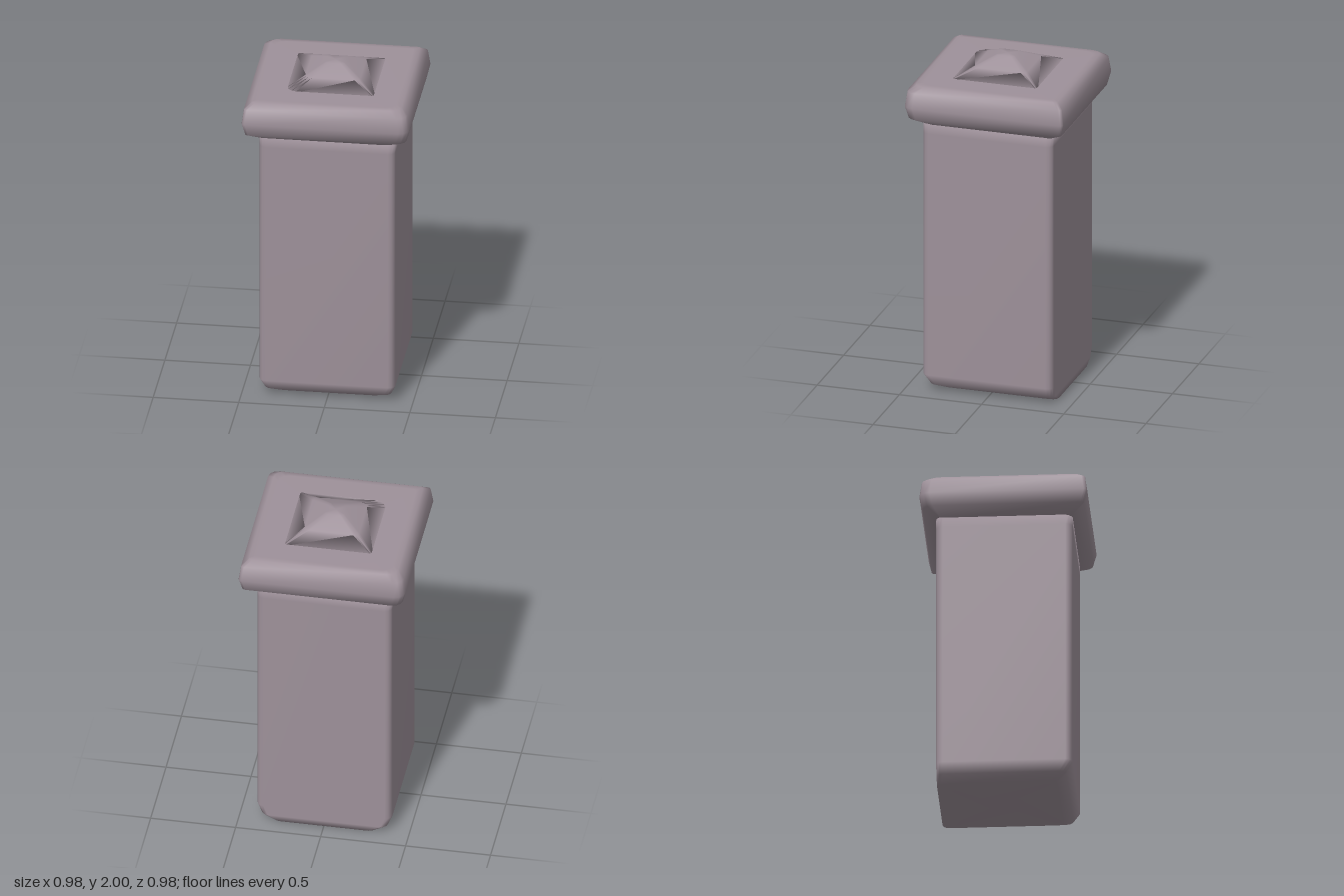
import * as THREE from 'three';

// One horizontal rounded rectangle: extents plus a radius per corner, counterclockwise from above
function ringPoints({ y, x0, x1, z0, z1, radii }) {
  const corners = [[x1, z0, -1, 1], [x0, z0, 1, 1], [x0, z1, 1, -1], [x1, z1, -1, -1]];
  const steps = 3;
  const points = [];
  corners.forEach(([x, z, sx, sz], c) => {
    const r = radii[c];
    for (let s = 0; s <= steps; s++) {
      const a = (c + s / steps) * Math.PI / 2;
      points.push(x + sx * r + r * Math.cos(a), y, z + sz * r - r * Math.sin(a));
    }
  });
  return points;
}

// Skin a stack of rings from bottom to top, closing both ends
function loft(rings) {
  const positions = rings.flatMap(ringPoints);
  const n = positions.length / 3 / rings.length;
  const index = [];
  for (let k = 0; k < rings.length - 1; k++) {
    for (let i = 0; i < n; i++) {
      const j = (i + 1) % n;
      const a = k * n + i, b = k * n + j;
      index.push(a, b, b + n, a, b + n, a + n);
    }
  }
  const first = rings[0], last = rings[rings.length - 1];
  const bottom = rings.length * n, top = bottom + 1;
  for (const e of [first, last]) positions.push((e.x0 + e.x1) / 2, e.y, (e.z0 + e.z1) / 2);
  for (let i = 0; i < n; i++) {
    const j = (i + 1) % n;
    index.push(bottom, j, i, top, bottom - n + i, bottom - n + j);
  }
  const geometry = new THREE.BufferGeometry();
  geometry.setAttribute('position', new THREE.Float32BufferAttribute(positions, 3));
  geometry.setIndex(index);
  geometry.computeVertexNormals();
  return geometry;
}

const square = (half, y, radii) => ({ y, x0: -half, x1: half, z0: -half, z1: half, radii });

export function createModel() {
  const model = new THREE.Group();
  const stone = new THREE.MeshStandardMaterial({ color: 0x9e919a });
  stone.name = 'mauve stone';

  const add = (name, rings) => {
    const mesh = new THREE.Mesh(loft(rings), stone);
    mesh.name = name;
    model.add(mesh);
  };

  // Shaft: foot bevelled at the sides and front, square at the back
  const soft = [0.04, 0.04, 0.04, 0.04];
  const foot = (y, halfX, front) => ({ y, x0: -halfX, x1: halfX, z0: -0.395, z1: front, radii: soft });
  add('post', [
    foot(0, 0.3, 0.3),
    foot(0.035, 0.37, 0.36),
    foot(0.1, 0.397, 0.397),
    foot(1.6, 0.397, 0.397),
    foot(1.67, 0.397, 0.397),
  ]);

  // Overhanging cap: two opposite corners are more worn than the others
  const worn = [0.02, 0.06, 0.02, 0.06];
  add('cap', [
    square(0.39, 1.655, worn),
    square(0.47, 1.705, worn),
    square(0.488, 1.78, worn),
    square(0.475, 1.87, worn),
    square(0.435, 1.9, worn),
    square(0.4, 1.902, worn),
  ]);

  // Low pyramid with a small blunt tip
  add('finial', [
    square(0.265, 1.897, [0.01, 0.01, 0.06, 0.01]),
    square(0.16, 1.949, [0.03, 0.03, 0.04, 0.03]),
    square(0.055, 2, [0.02, 0.02, 0.02, 0.02]),
  ]);

  return model;
}
